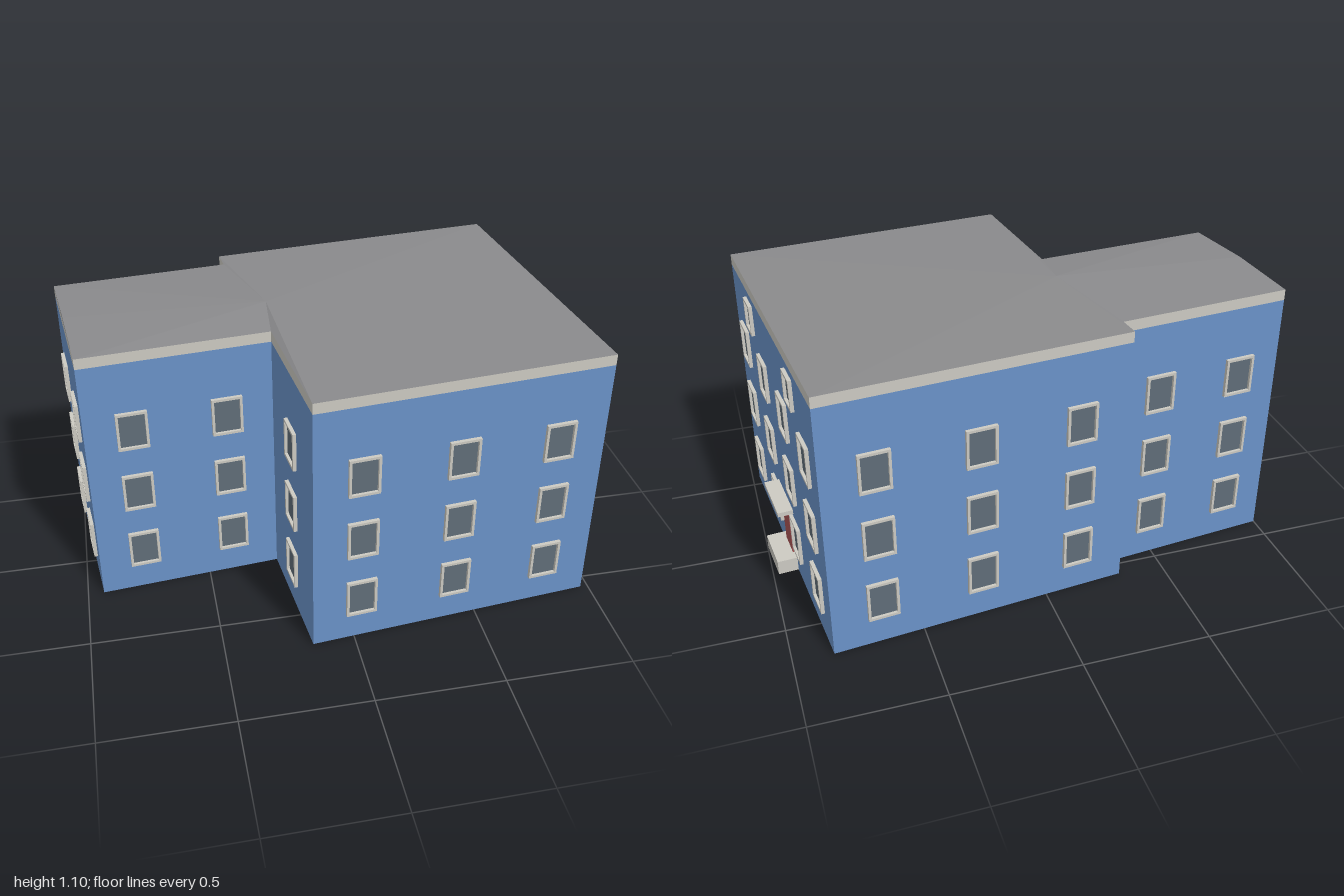
import * as THREE from 'three';

const mat = (name, color) => {
  const m = new THREE.MeshStandardMaterial({ color });
  m.name = name;
  return m;
};

// Footprint corners (x, z), counter-clockwise seen from above, starting at the front of the wing
const CORNERS = [
  [-0.937, 0.211], [-0.215, 0.141], [-0.163, 0.671], [0.97, 0.559],
  [0.847, -0.677], [-0.32, -0.559], [-0.311, -0.476], [-1.0, -0.406],
];
const WALL_NAMES = ['wingFront', 'innerSide', 'mainFront', 'entrance', 'mainBack', 'backStep', 'wingBack', 'wingEnd'];
const COLUMNS = [2, 1, 3, 4, 3, 0, 2, 2];
const FLOORS = [0.195, 0.472, 0.752];
const WALL_TOP = 1.04, EAVES = 1.083;

export function createModel() {
  const blue = mat('wallBlue', 0x6a92c8);
  const trim = mat('trimGrey', 0xcccac2);
  const grey = mat('roofGrey', 0x8a8a8c);
  const glass = mat('windowGlass', 0x606d78);
  const red = mat('doorRed', 0xaa5555);

  const building = new THREE.Group();
  building.name = 'building';

  const add = (parent, name, geometry, material, x = 0, y = 0, z = 0) => {
    const mesh = new THREE.Mesh(geometry, material);
    mesh.name = name;
    mesh.position.set(x, y, z);
    parent.add(mesh);
    return mesh;
  };

  // Walls and cornice: the footprint extruded upwards
  const plan = new THREE.Shape(CORNERS.map(([x, z]) => new THREE.Vector2(x, -z)));
  const slab = (height) =>
    new THREE.ExtrudeGeometry(plan, { depth: height, bevelEnabled: false }).rotateX(-Math.PI / 2);
  add(building, 'walls', slab(WALL_TOP), blue);
  add(building, 'cornice', slab(EAVES - WALL_TOP), [grey, trim], 0, WALL_TOP, 0);

  // Shallow roof: a fan from the apex, with a small gable on the wing end
  const apex = [-0.2, 1.102, -0.07];
  const ridgeEnd = [-0.968, 1.095, -0.098];
  const rim = CORNERS.map(([x, z]) => [x, EAVES, z]);
  const first = rim[0], last = rim[rim.length - 1];
  const loop = [...rim, ridgeEnd];
  const triangles = [];
  loop.forEach((p, i) => triangles.push(...apex, ...p, ...loop[(i + 1) % loop.length]));
  triangles.push(...last, ...first, ...ridgeEnd);
  const roof = new THREE.BufferGeometry();
  roof.setAttribute('position', new THREE.Float32BufferAttribute(triangles, 3));
  roof.computeVertexNormals();
  add(building, 'roof', roof, grey);

  // Window: a raised frame around a recessed pane
  const rect = (Type, w, h) => new Type([
    new THREE.Vector2(-w / 2, -h / 2), new THREE.Vector2(w / 2, -h / 2),
    new THREE.Vector2(w / 2, h / 2), new THREE.Vector2(-w / 2, h / 2),
  ]);
  const windowParts = (w, h) => {
    const outline = rect(THREE.Shape, w, h);
    outline.holes.push(rect(THREE.Path, w - 0.02, h - 0.02));
    return {
      frame: new THREE.ExtrudeGeometry(outline, { depth: 0.014, bevelEnabled: false }),
      pane: new THREE.BoxGeometry(w - 0.02, h - 0.02, 0.006),
    };
  };
  const tall = windowParts(0.12, 0.16);
  const attic = windowParts(0.1, 0.125);
  const addWindow = (wall, parts, x, y) => {
    const group = new THREE.Group();
    group.name = 'window';
    group.position.set(x, y, 0);
    add(group, 'windowFrame', parts.frame, trim);
    add(group, 'windowPane', parts.pane, glass);
    wall.add(group);
  };

  // One group per wall, with local x along the wall and local z pointing outwards
  CORNERS.forEach(([x, z], i) => {
    const [nx, nz] = CORNERS[(i + 1) % CORNERS.length];
    const length = Math.hypot(nx - x, nz - z);
    const wall = new THREE.Group();
    wall.name = WALL_NAMES[i] + 'Details';
    wall.position.set((x + nx) / 2, 0, (z + nz) / 2);
    wall.rotation.y = Math.atan2(z - nz, nx - x);
    building.add(wall);

    for (let c = 0; c < COLUMNS[i]; c++) {
      const along = ((c + 0.5) / COLUMNS[i] - 0.5) * length;
      FLOORS.forEach((y) => addWindow(wall, tall, along, y));
    }

    // Entrance wall: attic windows, door, step and canopy
    if (WALL_NAMES[i] === 'entrance') {
      [-0.25, 0.25].forEach((t) => addWindow(wall, attic, t * length, 0.947));
      add(wall, 'door', new THREE.BoxGeometry(0.108, 0.205, 0.016), red, 0, 0.1625, 0);
      add(wall, 'doorStep', new THREE.BoxGeometry(0.19, 0.06, 0.08), trim, 0, 0.03, 0.04);
      add(wall, 'doorCanopy', new THREE.BoxGeometry(0.23, 0.018, 0.06), trim, 0, 0.297, 0.03);
    }
  });

  return building;
}
